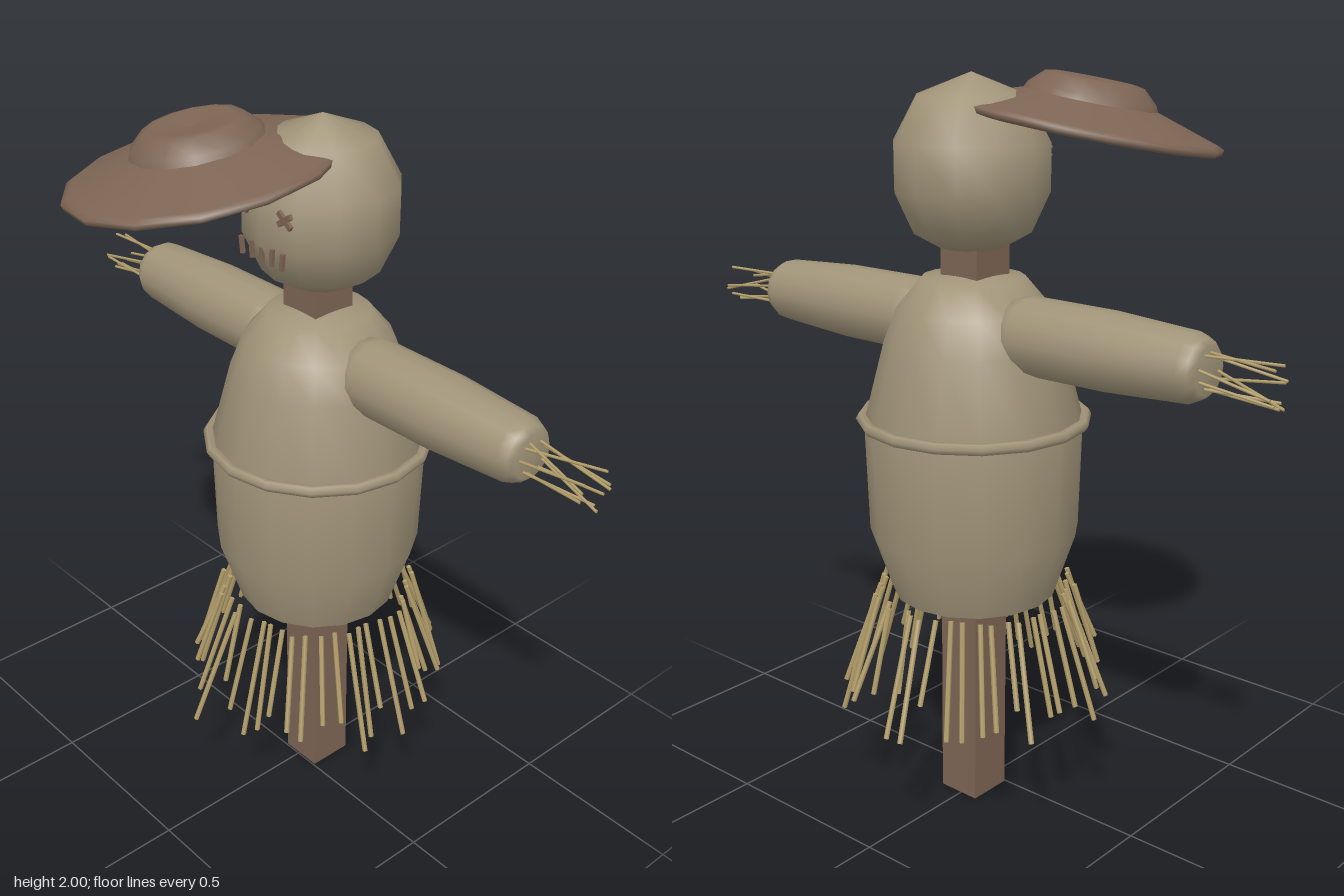
import * as THREE from 'three';

const CZ = -0.068; // depth of the central post line

export function createModel() {
  const group = new THREE.Group();
  const mat = (name, color, side = THREE.FrontSide) => {
    const m = new THREE.MeshStandardMaterial({ color, side });
    m.name = name;
    return m;
  };
  const burlap = mat('burlap', 0xa09378);
  const brown = mat('brown', 0x7d6554, THREE.DoubleSide);
  const straw = mat('straw', 0xb5a06c);

  let seed = 7;
  const rand = (a, b) => {
    seed = (seed * 16807) % 2147483647;
    return a + (b - a) * (seed / 2147483647);
  };
  const add = (name, geometry, material, parent = group) => {
    const mesh = new THREE.Mesh(geometry, material);
    mesh.name = name;
    parent.add(mesh);
    return mesh;
  };
  const lathe = (points, sides) =>
    new THREE.LatheGeometry(points.map(([r, y]) => new THREE.Vector2(r, y)), sides);
  const subgroup = (name) => {
    const g = new THREE.Group();
    g.name = name;
    group.add(g);
    return g;
  };
  // thin stalk between two points
  const up = new THREE.Vector3(0, 1, 0);
  const stalk = (name, a, b, radius, parent) => {
    const dir = b.clone().sub(a);
    const mesh = add(name, new THREE.CylinderGeometry(radius, radius, dir.length(), 5), straw, parent);
    mesh.position.copy(a).add(b).multiplyScalar(0.5);
    mesh.quaternion.setFromUnitVectors(up, dir.normalize());
  };

  // post, running up through the body to form the neck
  const post = add('post', new THREE.BoxGeometry(0.124, 1.62, 0.128), brown);
  post.position.set(0.001, 0.812, CZ);
  post.rotation.z = 0.009;

  // sack body with closed underside
  const body = add('body', lathe([
    [0.222, 0.62], [0.283, 0.8], [0.292, 1.1], [0.235, 1.32],
    [0.2, 1.41], [0.135, 1.487], [0, 1.502],
  ], 16), burlap);
  body.position.z = CZ;
  const base = add('bodyBase', new THREE.CircleGeometry(0.222, 16).rotateX(Math.PI / 2), burlap);
  base.position.set(0, 0.62, CZ);

  // rope belt
  const belt = add('belt', new THREE.TorusGeometry(0.298, 0.016, 6, 16).rotateX(Math.PI / 2), burlap);
  belt.position.set(0, 1.11, CZ);

  // head
  const head = add('head', lathe([
    [0, 1.56], [0.085, 1.565], [0.155, 1.605], [0.203, 1.71],
    [0.203, 1.83], [0.14, 1.945], [0, 2],
  ], 12), burlap);
  head.position.z = CZ - 0.005;

  // crossed-stitch eyes and stitched mouth
  const face = subgroup('face');
  for (const side of [-1, 1]) {
    for (const turn of [-1, 1]) {
      const bar = add('eyeStitch', new THREE.BoxGeometry(0.055, 0.014, 0.009), brown, face);
      bar.position.set(side * 0.08, 1.796, 0.118);
      bar.rotation.z = turn * 0.6;
    }
  }
  for (let i = -2; i <= 2; i++) {
    const stitch = add('mouthStitch', new THREE.BoxGeometry(0.011, 0.045, 0.009), brown, face);
    stitch.position.set(i * 0.038, 1.69, 0.123);
    stitch.rotation.z = -i * 0.06;
  }

  // arms with loose straw hands
  for (const side of [-1, 1]) {
    const name = side > 0 ? 'left' : 'right';
    const arm = add(name + 'Arm', lathe([
      [0, 0.1], [0.085, 0.12], [0.101, 0.2], [0.1, 0.45],
      [0.086, 0.69], [0.074, 0.715], [0.06, 0.73], [0, 0.73],
    ], 14).rotateZ(-side * Math.PI / 2), burlap);
    arm.position.set(0, 1.361, CZ - 0.01);
    const hand = subgroup(name + 'Hand');
    for (let i = 0; i < 9; i++) {
      const a = (i / 9) * Math.PI * 2;
      const b = a + rand(-1.6, 1.6);
      stalk('handStraw',
        new THREE.Vector3(side * 0.7, 1.36 + 0.045 * Math.sin(a), CZ - 0.01 + 0.045 * Math.cos(a)),
        new THREE.Vector3(side * rand(0.9, 0.932), 1.355 + 0.05 * Math.sin(b), CZ - 0.01 + 0.05 * Math.cos(b)),
        0.004, hand);
    }
  }

  // splayed straw skirt
  const skirt = subgroup('skirt');
  const count = 46;
  for (let i = 0; i < count; i++) {
    const a = ((i + rand(-0.25, 0.25)) / count) * Math.PI * 2;
    const r0 = rand(0.25, 0.285);
    const drop = rand(0.2, 0.34);
    const r1 = r0 + drop * rand(0.25, 0.44);
    const b = a + rand(-0.05, 0.05);
    stalk('skirtStraw',
      new THREE.Vector3(Math.cos(a) * r0, 0.627, CZ + Math.sin(a) * r0),
      new THREE.Vector3(Math.cos(b) * r1, 0.627 - drop, CZ + Math.sin(b) * r1),
      0.0075, skirt);
  }

  // hat slipping off toward the front right
  const hat = subgroup('hat');
  hat.position.set(-0.185, 1.863, 0.155);
  hat.quaternion.setFromUnitVectors(up, new THREE.Vector3(-0.13, 1, 0.14).normalize());
  add('brim', lathe([
    [0.16, 0.05], [0.335, -0.012], [0.355, -0.008], [0.358, 0.006], [0.34, 0.014], [0.172, 0.066],
  ], 14), brown, hat);
  add('crown', lathe([[0.176, 0.06], [0.165, 0.082], [0.128, 0.116], [0.105, 0.12], [0, 0.108]], 14), brown, hat);

  return group;
}
